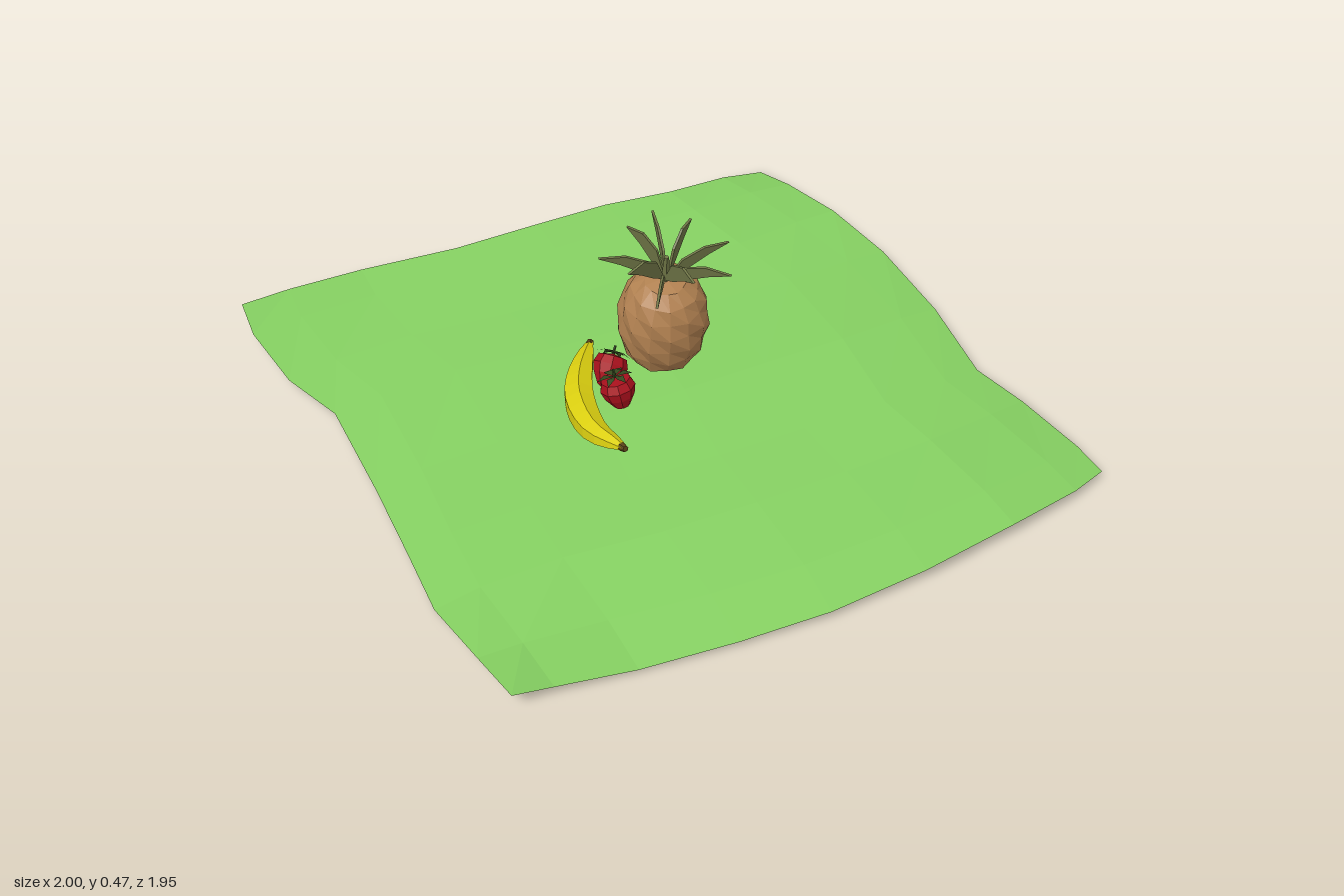
import * as THREE from 'three';

const paint = (color, side = THREE.FrontSide) =>
  new THREE.MeshStandardMaterial({ color, flatShading: true, side });
const GREEN = paint(0x86d162, THREE.DoubleSide), BROWN = paint(0xb08050), LEAF = paint(0x6f7546, THREE.DoubleSide);
const YELLOW = paint(0xdcd010), STALK = paint(0x5a4318), RED = paint(0xa8101c), CALYX = paint(0x35491f, THREE.DoubleSide);

function add(parent, name, geometry, material) {
  const mesh = new THREE.Mesh(geometry, material);
  mesh.name = name;
  parent.add(mesh);
  return mesh;
}

// Rumpled cloth: a patch spanned between four wavy edges, with a coarse height grid
const EDGES = {
  back: [[-1, -.48], [-.88, -.55], [-.69, -.63], [-.43, -.68], [-.2, -.75], [0, -.82], [.19, -.86], [.36, -.94], [.48, -.98]],
  front: [[-.43, .97], [-.34, .94], [-.16, .9], [.06, .86], [.27, .81], [.5, .73], [.73, .63], [.91, .53], [1, .46]],
  near: [[-1, -.48], [-.97, -.36], [-.88, -.17], [-.77, -.03], [-.68, .26], [-.62, .48], [-.57, .67], [-.49, .84], [-.43, .97]],
  far: [[.48, -.98], [.54, -.88], [.63, -.7], [.72, -.49], [.79, -.22], [.83, .03], [.91, .15], [.98, .35], [1, .46]],
};
const HEIGHTS = [
  [.055, .03, .05, .05, .015],
  [.03, .035, .045, .058, .045],
  [.015, .04, .066, .068, .03],
  [.02, .045, .055, .045, 0],
  [.055, .012, .025, .05, .025],
];

function heightAt(u, v) {
  const i = Math.min(3, Math.floor(u * 4)), j = Math.min(3, Math.floor(v * 4));
  const s = THREE.MathUtils.smoothstep(u * 4 - i, 0, 1), t = THREE.MathUtils.smoothstep(v * 4 - j, 0, 1);
  const mix = THREE.MathUtils.lerp;
  return mix(mix(HEIGHTS[j][i], HEIGHTS[j][i + 1], s), mix(HEIGHTS[j + 1][i], HEIGHTS[j + 1][i + 1], s), t);
}

function clothGeometry() {
  const n = 8, geo = new THREE.PlaneGeometry(1, 1, n, n), pos = geo.attributes.position;
  const { back, front, near, far } = EDGES;
  for (let j = 0; j <= n; j++) for (let i = 0; i <= n; i++) {
    const u = i / n, v = j / n;
    const coord = k => (1 - v) * back[i][k] + v * front[i][k] + (1 - u) * near[j][k] + u * far[j][k]
      - (1 - u) * (1 - v) * back[0][k] - u * (1 - v) * back[n][k] - (1 - u) * v * front[0][k] - u * v * front[n][k];
    pos.setXYZ(j * (n + 1) + i, coord(0), heightAt(u, v), coord(1));
  }
  geo.computeVertexNormals();
  return geo;
}

// Pineapple: faceted knobbly body with upright blade leaves
function makePineapple() {
  const group = new THREE.Group();
  group.name = 'pineapple';
  const profile = [[0, -.142], [.055, -.133], [.09, -.1], [.106, -.055], [.112, -.01], [.11, .035], [.1, .075], [.082, .11], [.05, .135], [0, .143]]
    .map(p => new THREE.Vector2(...p));
  const segs = 14, body = new THREE.LatheGeometry(profile, segs), pos = body.attributes.position;
  for (let i = 0; i <= segs; i++) for (let j = 1; j < profile.length - 1; j++) {
    const k = i * profile.length + j, f = (i + j) % 2 ? 1.025 : .965;
    pos.setXYZ(k, pos.getX(k) * f, pos.getY(k), pos.getZ(k) * f);
  }
  add(group, 'pineappleBody', body, BROWN);

  const stem = add(group, 'crownStem', new THREE.CylinderGeometry(.006, .014, .09, 5), LEAF);
  stem.position.y = .17;
  const count = 9;
  for (let i = 0; i < count; i++) {
    const r = i % 2 ? .12 : .16, h = i % 2 ? .1 : .072;
    const blade = new THREE.Shape();
    blade.moveTo(0, 0);
    blade.lineTo(r * .25, h * .78);
    blade.lineTo(r * .6, h * 1.08);
    blade.lineTo(r, h);
    blade.lineTo(r * .68, h * .72);
    blade.lineTo(r * .35, h * .33);
    const leaf = add(group, 'crownLeaf', new THREE.ExtrudeGeometry(blade, { depth: .006, bevelEnabled: false }), LEAF);
    leaf.position.y = .138;
    leaf.rotation.y = (i / count) * Math.PI * 2 + .25;
  }
  group.position.set(.04, .212, -.045);
  group.rotation.x = .22;
  return group;
}

// Banana: tube along an arc, tapered to both ends
function makeBanana() {
  const group = new THREE.Group();
  group.name = 'banana';
  const curve = new THREE.CatmullRomCurve3([[-.13, .083, -.14], [-.168, .082, -.02], [-.183, .082, .08], [-.164, .092, .21], [-.108, .114, .31]]
    .map(p => new THREE.Vector3(...p)));
  const n = 12, sides = 6, geo = new THREE.TubeGeometry(curve, n, 1, sides), pos = geo.attributes.position;
  const v = new THREE.Vector3();
  for (let i = 0; i <= n; i++) {
    const centre = curve.getPointAt(i / n), r = .009 + .031 * Math.pow(Math.sin(Math.PI * i / n), .75);
    for (let j = 0; j <= sides; j++) {
      const k = i * (sides + 1) + j;
      v.fromBufferAttribute(pos, k).sub(centre).multiplyScalar(r);
      v.y *= .85;
      v.add(centre);
      pos.setXYZ(k, v.x, v.y, v.z);
    }
  }
  add(group, 'bananaSkin', geo, YELLOW);
  for (const t of [0, 1]) {
    const tip = add(group, 'bananaTip', new THREE.CylinderGeometry(.008, .011, .016, 6), STALK);
    tip.position.copy(curve.getPointAt(t));
    tip.quaternion.setFromUnitVectors(new THREE.Vector3(0, 1, 0), curve.getTangentAt(t).multiplyScalar(t ? 1 : -1));
  }
  return group;
}

// Strawberry: pointed body with a leafy cap
function makeStrawberry(position, tiltX, tiltZ) {
  const group = new THREE.Group();
  group.name = 'strawberry';
  const profile = [[0, -.05], [.02, -.04], [.037, -.012], [.044, .012], [.036, .033], [0, .04]].map(p => new THREE.Vector2(...p));
  add(group, 'strawberryBody', new THREE.LatheGeometry(profile, 9), RED);
  for (let i = 0; i < 6; i++) {
    const sepal = new THREE.BufferGeometry();
    sepal.setAttribute('position', new THREE.Float32BufferAttribute(
      [0, .041, 0, .024, .046, .01, .024, .046, -.01, .024, .046, .01, .044, .038, 0, .024, .046, -.01], 3));
    sepal.computeVertexNormals();
    add(group, 'strawberrySepal', sepal, CALYX).rotation.y = i * Math.PI / 3;
  }
  const stalk = add(group, 'strawberryStalk', new THREE.CylinderGeometry(.003, .004, .022, 5), CALYX);
  stalk.position.y = .05;
  group.position.set(...position);
  group.rotation.set(tiltX, 0, tiltZ);
  return group;
}

export function createModel() {
  const model = new THREE.Group();
  model.name = 'fruitOnCloth';
  add(model, 'cloth', clothGeometry(), GREEN);
  model.add(
    makePineapple(),
    makeBanana(),
    makeStrawberry([-.09, .112, .097], -.15, .2),
    makeStrawberry([-.1, .105, .003], -.7, -.35),
  );
  return model;
}
